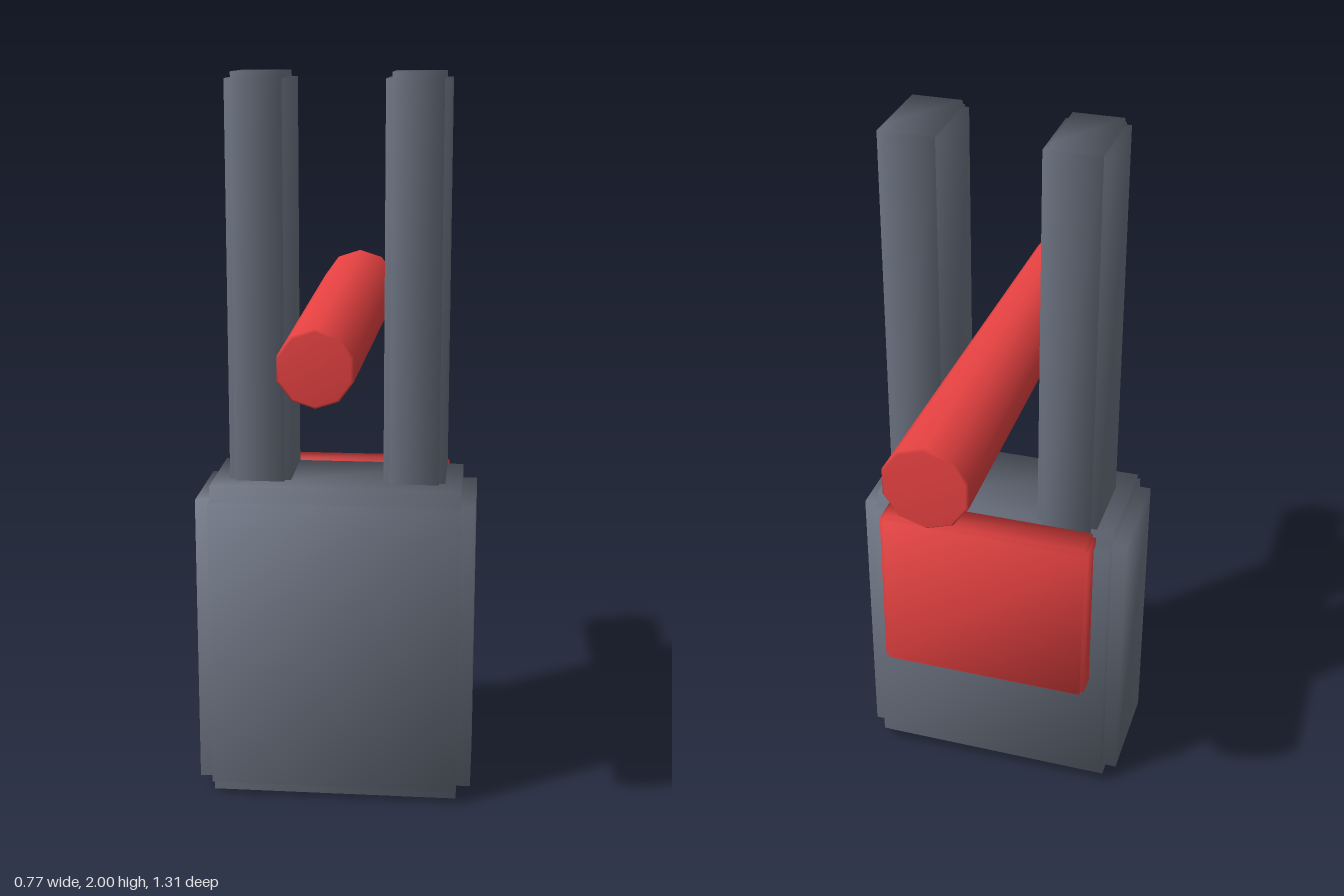
import * as THREE from 'three';
import { mergeVertices, mergeGeometries } from 'three/addons/utils/BufferGeometryUtils.js';

// Box with shared corners, so that its shading runs smoothly over the edges
function softBox(w, h, d) {
  const box = new THREE.BoxGeometry(w, h, d);
  box.deleteAttribute('normal');
  box.deleteAttribute('uv');
  const merged = mergeVertices(box);
  merged.computeVertexNormals();
  return merged;
}

// Block with stepped edges: three crossing boxes, each full length along one axis
function steppedBlock(name, material, min, max, inset) {
  const size = min.map((v, i) => max[i] - v);
  const boxes = [0, 1, 2].map((axis) =>
    softBox(...size.map((s, i) => (i === axis ? s : s - 2 * inset))));
  const mesh = new THREE.Mesh(mergeGeometries(boxes), material);
  mesh.position.set(...min.map((v, i) => (v + max[i]) / 2));
  mesh.name = name;
  return mesh;
}

export function createModel() {
  const grey = new THREE.MeshStandardMaterial({ color: 0x6b7280 });
  grey.name = 'slate grey';
  const red = new THREE.MeshStandardMaterial({ color: 0xef4444 });
  red.name = 'red';

  const model = new THREE.Group();
  model.name = 'model';

  // Main block and the panel on its back
  model.add(steppedBlock('body', grey, [-0.383, 0, -0.15], [0.383, 0.897, 0.232], 0.04));
  model.add(steppedBlock('backPanel', red, [-0.3, 0.385, -0.224], [0.3, 0.895, -0.115], 0.012));

  // Pair of uprights
  for (const side of [-1, 1]) {
    const x = side * 0.213;
    model.add(steppedBlock(side > 0 ? 'leftPost' : 'rightPost', grey,
      [x - 0.085, 0.87, -0.126], [x + 0.085, 2, 0.126], 0.017));
  }

  // Tapered ten-sided bar between the uprights, with slightly bevelled ends
  const profile = [
    [0, -0.657], [0.108, -0.657], [0.115, -0.649],
    [0.097, 0.649], [0.09, 0.657], [0, 0.657],
  ].map(([r, y]) => new THREE.Vector2(r, y));
  const bar = new THREE.Mesh(new THREE.LatheGeometry(profile, 10), red);
  bar.name = 'crossBar';
  bar.rotation.x = Math.PI / 2;
  bar.position.y = 1.323;
  model.add(bar);

  return model;
}
